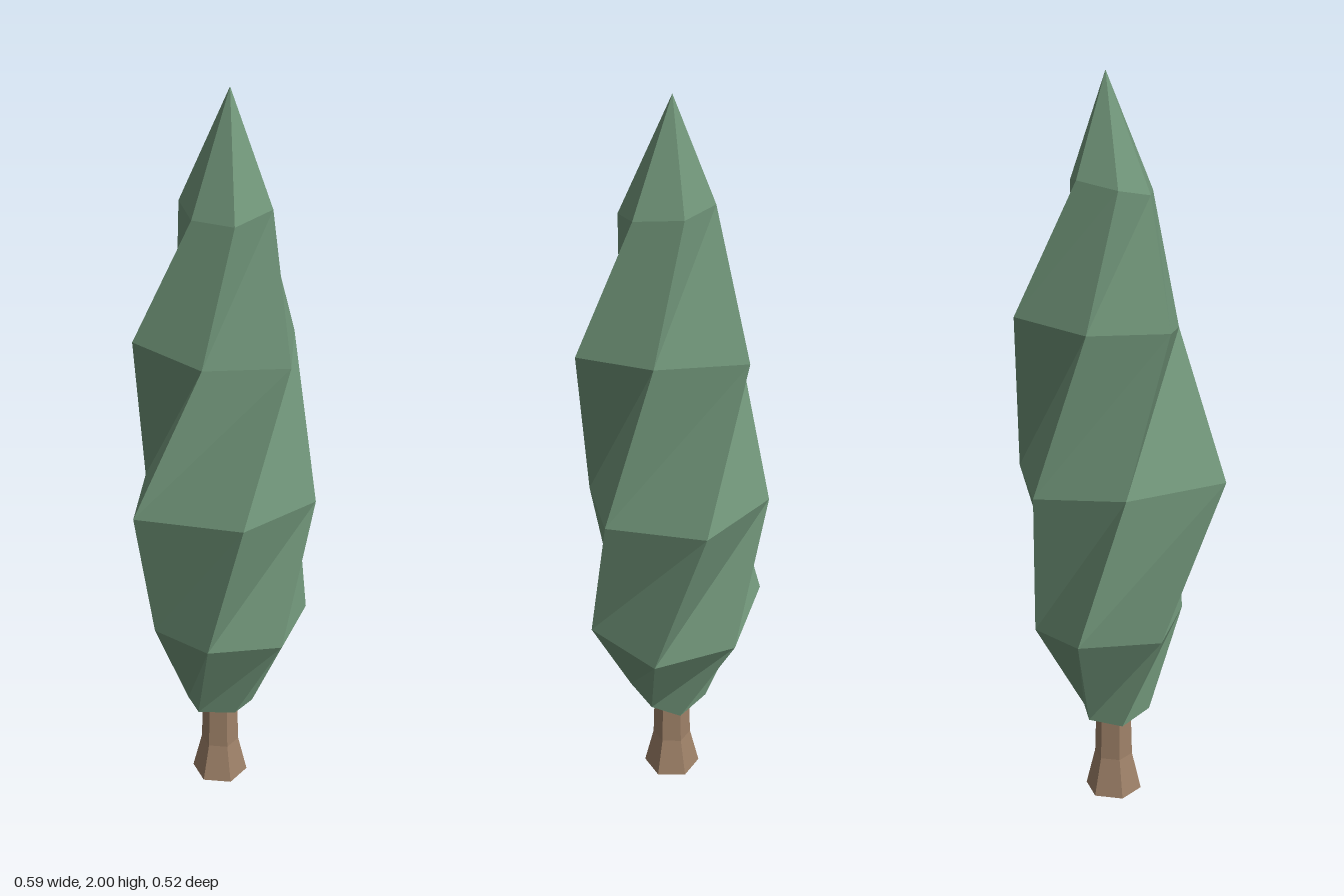
import * as THREE from 'three';

// Lofts rings (listed top to bottom, each [x, y, z] points running from +x towards +z),
// closing both ends with a fan to a single point. Diagonals all lean the same way.
function loft(rings, top, bottom) {
  const pos = [];
  const tri = (...pts) => pts.forEach((p) => pos.push(...p));
  const n = rings[0].length;
  const last = rings[rings.length - 1];
  for (let i = 0; i < n; i++) {
    const j = (i + 1) % n;
    tri(top, rings[0][j], rings[0][i]);
    for (let r = 0; r < rings.length - 1; r++) {
      const a = rings[r], b = rings[r + 1];
      tri(a[i], a[j], b[j]);
      tri(a[i], b[j], b[i]);
    }
    tri(last[i], last[j], bottom);
  }
  const geo = new THREE.BufferGeometry();
  geo.setAttribute('position', new THREE.Float32BufferAttribute(pos, 3));
  geo.computeVertexNormals();
  return geo;
}

// Regular horizontal ring
function ring(sides, radius, y, cx, cz, turn) {
  return Array.from({ length: sides }, (_, i) => {
    const t = turn + (i / sides) * Math.PI * 2;
    return [cx + radius * Math.cos(t), y, cz + radius * Math.sin(t)];
  });
}

export function createModel() {
  const model = new THREE.Group();
  model.name = 'cypressTree';

  const leafGreen = new THREE.MeshStandardMaterial({ color: 0x71967a, flatShading: true });
  leafGreen.name = 'leaf green';
  const barkBrown = new THREE.MeshStandardMaterial({ color: 0x9e8168, flatShading: true });
  barkBrown.name = 'bark brown';

  // Foliage: five irregular six-sided rings, twisting as they descend
  const crownRings = [
    [[0.137, 1.73, 0.025], [0.07, 1.72, 0.13], [-0.055, 1.70, 0.12],
      [-0.084, 1.70, 0.004], [-0.03, 1.72, -0.093], [0.084, 1.74, -0.079]],
    [[0.173, 1.38, 0.12], [0, 1.365, 0.26], [-0.138, 1.35, 0.09],
      [-0.175, 1.38, -0.118], [0.03, 1.37, -0.168], [0.25, 1.39, -0.1]],
    [[0.136, 0.94, 0.242], [-0.1, 0.925, 0.2], [-0.297, 0.965, 0],
      [-0.08, 0.95, -0.182], [0.163, 0.94, -0.21], [0.295, 0.945, 0.027]],
    [[0.01, 0.54, 0.245], [-0.15, 0.54, 0.12], [-0.15, 0.52, -0.085],
      [0.025, 0.56, -0.263], [0.208, 0.515, -0.1], [0.228, 0.53, 0.145]],
    [[-0.035, 0.28, 0.115], [-0.085, 0.26, 0.02], [-0.035, 0.24, -0.07],
      [0.06, 0.25, -0.08], [0.11, 0.24, 0.02], [0.065, 0.26, 0.09]],
  ];
  const foliage = new THREE.Mesh(loft(crownRings, [0.038, 2, 0.015], [0.015, 0.27, 0.01]), leafGreen);
  foliage.name = 'foliage';
  model.add(foliage);

  // Trunk: six-sided, flared at the foot
  const trunkRings = [[0.048, 0.32], [0.054, 0.11], [0.08, 0]]
    .map(([r, y]) => ring(6, r, y, 0.017, 0.008, -0.12));
  const trunk = new THREE.Mesh(loft(trunkRings, [0.017, 0.32, 0.008], [0.017, 0, 0.008]), barkBrown);
  trunk.name = 'trunk';
  model.add(trunk);

  return model;
}
